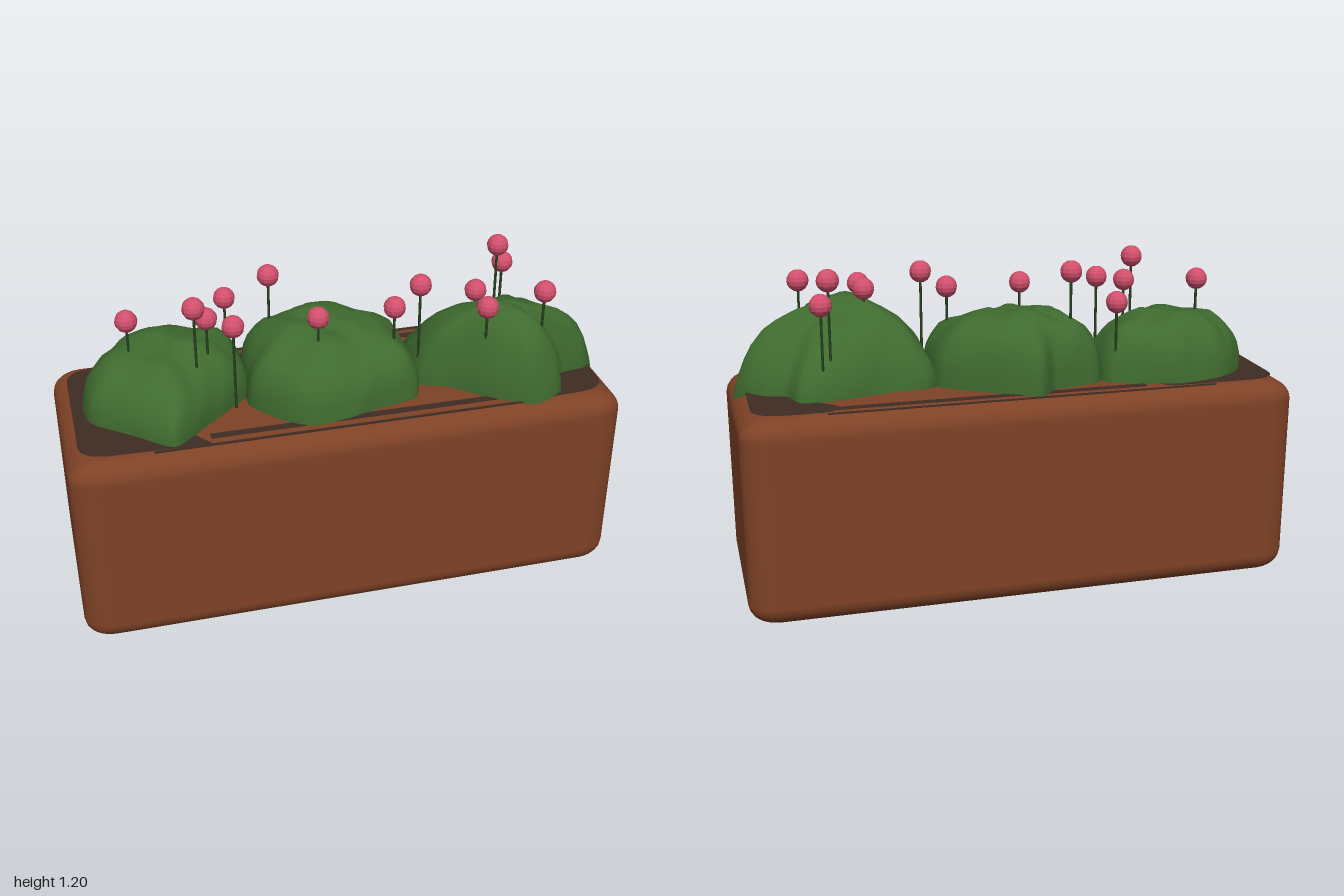
import * as THREE from 'three';
import { RoundedBoxGeometry } from 'three/addons/geometries/RoundedBoxGeometry.js';

const material = (name, color, side = THREE.FrontSide) => {
  const m = new THREE.MeshStandardMaterial({ color, side });
  m.name = name;
  return m;
};

// Lumpy dome: an outline drawn in towards a peak, ring by ring
function bushGeometry({ outline, peak, top, p, q, tilt, seed }) {
  const curve = new THREE.CatmullRomCurve3(
    outline.map(([x, z]) => new THREE.Vector3(x, 0, z)), true, 'catmullrom', 0.35);
  const sides = 48, base = 0.745;
  const rim = curve.getPoints(sides).slice(0, sides);
  const rings = [1, 1, 0.985, 0.95, 0.9, 0.82, 0.72, 0.6, 0.45, 0.3, 0.15];
  const pos = [], index = [];
  rings.forEach((s, r) => {
    rim.forEach((pt) => {
      let x = peak[0] + (pt.x - peak[0]) * s;
      let z = peak[1] + (pt.z - peak[1]) * s;
      const up = Math.pow(Math.max(0, 1 - Math.pow(s, p)), 1 / q);
      let y = base + (top - base) * up + up * tilt * (z - peak[1]);
      if (r === 0) y = base - 0.015;
      if (r > 1) { // uneven leafy surface
        const n = Math.sin(x * 23 + seed) * Math.sin(z * 27 + seed * 2)
          + 0.6 * Math.sin(x * 41 - z * 33 + seed * 3) * Math.cos(y * 38);
        y += 0.011 * n * up;
        x += 0.012 * n * (x - peak[0]);
        z += 0.02 * n * (z - peak[1]);
      }
      if (x > 0.93) y -= (x - 0.93) * 0.6; // tip drooping over the rim
      pos.push(x, y, z);
    });
  });
  for (let r = 0; r < rings.length - 1; r++) {
    for (let i = 0; i < sides; i++) {
      const a = r * sides + i, b = r * sides + (i + 1) % sides;
      index.push(a, a + sides, b, b, a + sides, b + sides);
    }
  }
  const last = (rings.length - 1) * sides, apex = pos.length / 3;
  pos.push(peak[0], top, peak[1]);
  for (let i = 0; i < sides; i++) index.push(last + i, apex, last + (i + 1) % sides);
  const g = new THREE.BufferGeometry();
  g.setAttribute('position', new THREE.Float32BufferAttribute(pos, 3));
  g.setIndex(index);
  g.computeVertexNormals();
  return g;
}

export function createModel() {
  const group = new THREE.Group();
  group.name = 'planter';
  const clay = material('terracotta', 0x7f4226);
  const earth = material('soil', 0x3e2c24, THREE.DoubleSide);
  const leaf = material('leaf green', 0x3f6b2f, THREE.DoubleSide);
  const stemGreen = material('stem green', 0x26401f);
  const pink = material('flower pink', 0xd14f6c);
  const add = (name, geometry, mat, parent = group) => {
    const mesh = new THREE.Mesh(geometry, mat);
    mesh.name = name;
    parent.add(mesh);
    return mesh;
  };

  // Trough with soft, lengthwise-stretched corners
  const stretch = 1.4;
  const pot = new RoundedBoxGeometry(2 / stretch, 0.748, 0.745, 3, 0.075);
  pot.scale(stretch, 1, 1);
  pot.translate(0, 0.374, 0);
  add('pot', pot, clay);

  // Bare soil at both ends
  const soilEnd = (dir, inner) => {
    const s = new THREE.Shape();
    s.moveTo(dir * inner, -0.31);
    s.lineTo(dir * 0.85, -0.3);
    s.quadraticCurveTo(dir * 0.95, -0.29, dir * 0.95, -0.22);
    s.lineTo(dir * 0.95, 0.22);
    s.quadraticCurveTo(dir * 0.95, 0.3, dir * 0.85, 0.31);
    s.lineTo(dir * (inner + 0.05), 0.31);
    s.quadraticCurveTo(dir * (inner - 0.06), 0.27, dir * (inner + 0.08), 0.18);
    s.lineTo(dir * (inner + 0.08), -0.2);
    s.closePath();
    const g = new THREE.ShapeGeometry(s, 8);
    g.rotateX(-Math.PI / 2);
    g.translate(0, 0.75, 0);
    return g;
  };
  add('soilLeft', soilEnd(1, 0.65), earth);
  add('soilRight', soilEnd(-1, 0.5), earth);

  // Thin furrows along the long edges: x0, x1, z, width
  [[-0.5, 0.68, 0.26, 0.03], [-0.7, 0.7, 0.312, 0.01],
    [-0.45, 0.68, -0.27, 0.03], [-0.7, 0.7, -0.322, 0.01]].forEach(([x0, x1, z, w]) => {
    const strip = add('soilFurrow', new THREE.BoxGeometry(x1 - x0, 0.004, w), earth);
    strip.position.set((x0 + x1) / 2, 0.748, z);
  });

  // Three bushes
  const bushes = [
    { name: 'bushRight', top: 0.965, peak: [-0.6, -0.03], p: 3.2, q: 2, tilt: -0.12, seed: 1,
      outline: [[-0.91, -0.05], [-0.85, -0.17], [-0.75, -0.25], [-0.58, -0.29], [-0.44, -0.25],
        [-0.32, -0.19], [-0.31, 0], [-0.4, 0.1], [-0.52, 0.21], [-0.63, 0.3], [-0.75, 0.2], [-0.89, 0.08]] },
    { name: 'bushMiddle', top: 0.995, peak: [-0.03, -0.03], p: 3.4, q: 2.2, tilt: -0.1, seed: 2.3,
      outline: [[-0.33, 0], [-0.31, -0.18], [-0.22, -0.22], [-0.12, -0.24], [-0.05, -0.31], [0.1, -0.23],
        [0.28, -0.1], [0.29, 0.08], [0.26, 0.19], [0.1, 0.23], [-0.02, 0.27], [-0.15, 0.28],
        [-0.24, 0.22], [-0.33, 0.1]] },
    { name: 'bushLeft', top: 1.055, peak: [0.57, 0.11], p: 2, q: 1.7, tilt: 0.15, seed: 4.1,
      outline: [[0.28, -0.1], [0.45, -0.13], [0.6, -0.17], [0.77, -0.19], [0.81, -0.09], [0.88, -0.07],
        [0.95, 0], [0.99, 0.07], [0.93, 0.14], [0.82, 0.16], [0.78, 0.28], [0.66, 0.33],
        [0.52, 0.26], [0.4, 0.15], [0.28, 0.09]] },
  ];
  bushes.forEach((b) => add(b.name, bushGeometry(b), leaf));

  // Ball flowers on thin stems: x, centre height, z
  const ball = new THREE.SphereGeometry(0.04, 12, 8).toNonIndexed();
  ball.computeVertexNormals();
  [[-0.73, 1.075, -0.03], [-0.46, 1.075, 0.02], [-0.51, 1.15, 0.08], [-0.38, 1.075, 0.1],
    [-0.36, 1.04, -0.19], [-0.21, 1.145, -0.12], [-0.08, 1.07, 0.1], [0.2, 1.07, 0.09],
    [0.3, 1.135, 0.07], [0.51, 1.085, 0.06], [0.51, 1.08, 0.19], [0.66, 1.16, -0.13],
    [0.69, 1.08, -0.15], [0.73, 1.105, 0.17]].forEach(([x, y, z]) => {
    const flower = new THREE.Group();
    flower.name = 'flower';
    flower.position.set(x, 0, z);
    group.add(flower);
    add('blossom', ball, pink, flower).position.y = y;
    const h = y - 0.75;
    add('stem', new THREE.CylinderGeometry(0.005, 0.005, h, 6), stemGreen, flower).position.y = 0.75 + h / 2;
  });

  return group;
}
